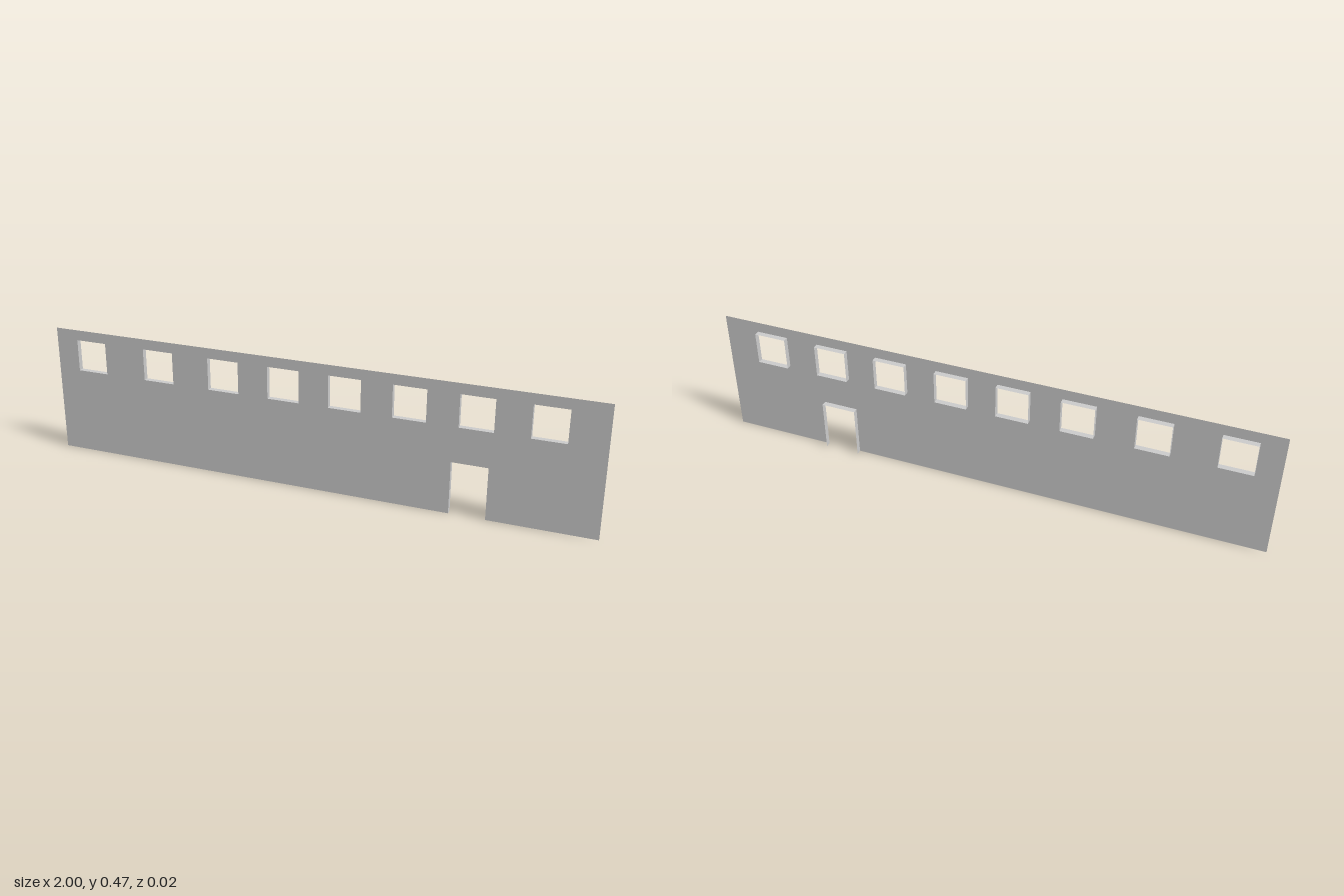
import * as THREE from 'three';

const FRONT = 0.01, DEPTH = 0.02, HEIGHT = 0.472;
const SILL = 0.317, HEAD = 0.434, WINDOW_WIDTH = 0.117;
const WINDOW_CENTRES = [-0.858, -0.585, -0.329, -0.101, 0.123, 0.351, 0.578, 0.814];
const DOOR = { left: 0.5, right: 0.627, top: 0.19 };

// Thin lining swept backwards from the wall along an outline of [x, y] corners
function makeLining(name, outline, material) {
  const group = new THREE.Group();
  group.name = name;
  for (let i = 0; i < outline.length - 1; i++) {
    const [x0, y0] = outline[i], [x1, y1] = outline[i + 1];
    const panel = new THREE.Mesh(
      new THREE.PlaneGeometry(Math.hypot(x1 - x0, y1 - y0), DEPTH), material);
    panel.name = name + 'Panel';
    panel.rotation.set(-Math.PI / 2, 0, Math.atan2(y1 - y0, x1 - x0), 'ZXY');
    panel.position.set((x0 + x1) / 2, (y0 + y1) / 2, FRONT - DEPTH / 2);
    group.add(panel);
  }
  return group;
}

export function createModel() {
  const model = new THREE.Group();
  model.name = 'wallWithWindows';
  const material = new THREE.MeshStandardMaterial({ color: 0xcccccc, side: THREE.DoubleSide });

  // Wall outline, notched at the bottom for the doorway
  const { left, right, top } = DOOR;
  const doorway = [[left, 0], [left, top], [right, top], [right, 0]];
  const wallShape = new THREE.Shape(
    [[-1, 0], ...doorway, [1, 0], [1, HEIGHT], [-1, HEIGHT]].map(p => new THREE.Vector2(...p)));

  // Window openings and their linings
  for (const cx of WINDOW_CENTRES) {
    const a = cx - WINDOW_WIDTH / 2, b = cx + WINDOW_WIDTH / 2;
    const corners = [[a, SILL], [a, HEAD], [b, HEAD], [b, SILL]];
    wallShape.holes.push(new THREE.Path(corners.map(p => new THREE.Vector2(...p))));
    model.add(makeLining('windowLining', [...corners, corners[0]], material));
  }

  // Jambs and head of the doorway
  model.add(makeLining('doorLining', doorway, material));

  // Single-sheet wall on the front face
  const wall = new THREE.Mesh(new THREE.ShapeGeometry(wallShape), material);
  wall.name = 'wall';
  wall.position.z = FRONT;
  model.add(wall);
  return model;
}
